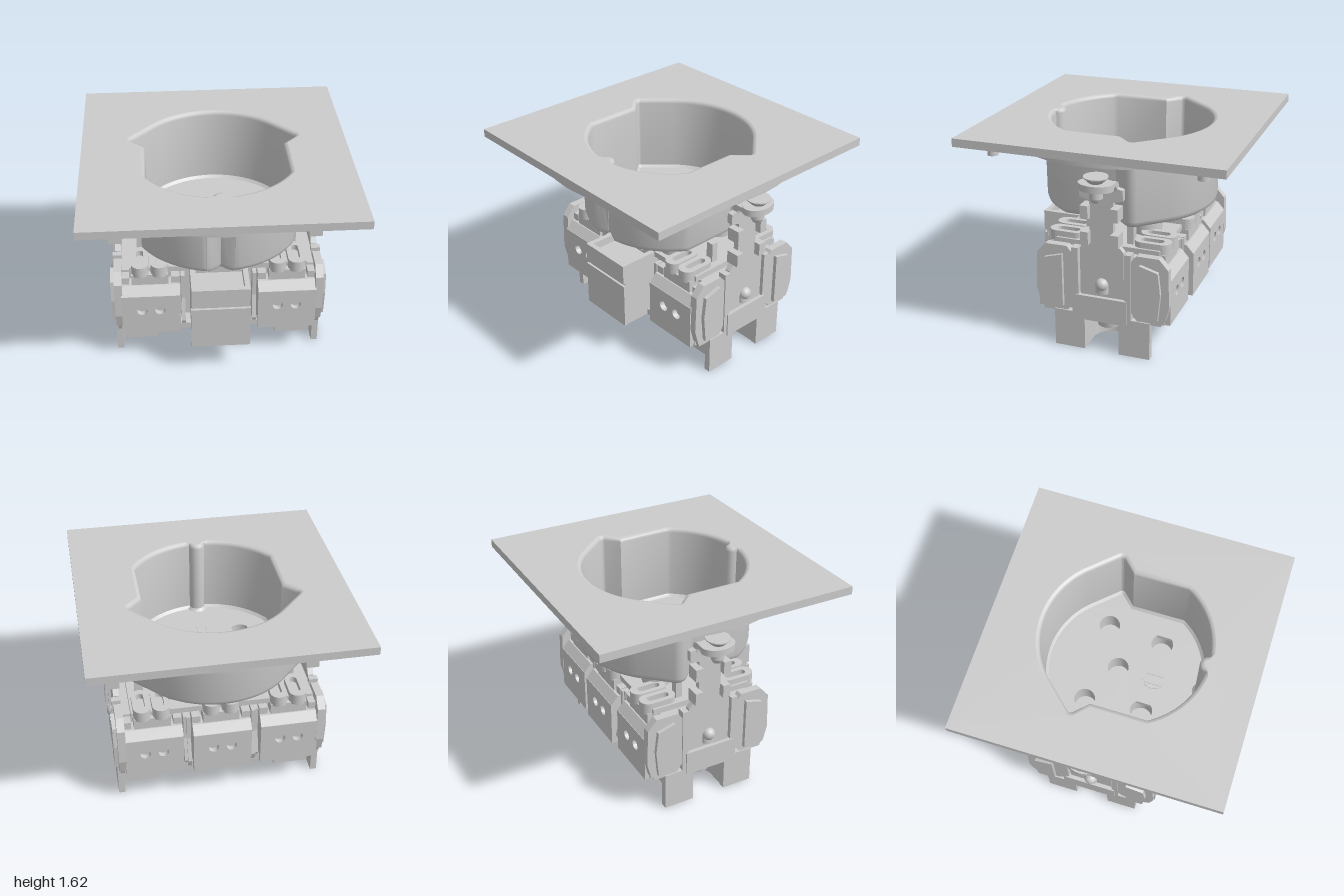
import * as THREE from 'three';
import { toCreasedNormals } from 'three/addons/utils/BufferGeometryUtils.js';

const V2 = (x, y) => new THREE.Vector2(x, y);
const ZC = -0.045; // z centre of the mechanism

export function createModel() {
  const root = new THREE.Group();
  const mat = new THREE.MeshStandardMaterial({ color: 0xcccccc });
  const thin = new THREE.MeshStandardMaterial({ color: 0xcccccc, side: THREE.DoubleSide });

  const add = (parent, name, geo, m = mat) => {
    const mesh = new THREE.Mesh(geo, m);
    mesh.name = name;
    parent.add(mesh);
    return mesh;
  };
  // Box given by its limits
  const box = (parent, name, x0, x1, y0, y1, z0, z1) => {
    const mesh = add(parent, name, new THREE.BoxGeometry(Math.abs(x1 - x0), y1 - y0, z1 - z0));
    mesh.position.set((x0 + x1) / 2, (y0 + y1) / 2, (z0 + z1) / 2);
    return mesh;
  };
  const cyl = (parent, name, x, z, y0, y1, r, rTop = r) => {
    const mesh = add(parent, name, new THREE.CylinderGeometry(rTop, r, y1 - y0, 28));
    mesh.position.set(x, (y0 + y1) / 2, z);
    return mesh;
  };
  // Shape in plan (y of the shape = -z), extruded upwards
  const slab = (parent, name, shape, y0, y1, bevel = 0) => {
    const geo = new THREE.ExtrudeGeometry(shape, {
      depth: y1 - y0 - 2 * bevel, bevelEnabled: bevel > 0, bevelSize: bevel, bevelOffset: -bevel,
      bevelThickness: bevel, bevelSegments: 2, curveSegments: 20,
    });
    geo.rotateX(-Math.PI / 2).translate(0, y0 + bevel, 0);
    return add(parent, name, toCreasedNormals(geo, 0.6));
  };
  // Side profile of [z, y] points extruded along x
  const prism = (parent, name, pts, x0, x1) => {
    const shape = new THREE.Shape(pts.map(([z, y]) => V2(-z, y)));
    const geo = new THREE.ExtrudeGeometry(shape, { depth: x1 - x0, bevelEnabled: false });
    geo.rotateY(Math.PI / 2).translate(x0, 0, 0);
    return add(parent, name, geo);
  };
  const rect = (x0, x1, y0, y1) =>
    new THREE.Shape([V2(x0, y0), V2(x1, y0), V2(x1, y1), V2(x0, y1)]);
  const circle = (x, y, r) => new THREE.Path().absarc(x, y, r, 0, Math.PI * 2);

  // Well outline: right half from rear to front, then mirrored
  const half = [];
  const arc = (cx, cy, r, a0, a1, n) => {
    for (let i = 0; i <= n; i++) {
      const a = THREE.MathUtils.degToRad(a0 + (a1 - a0) * i / n);
      half.push(V2(cx + r * Math.cos(a), cy + r * Math.sin(a)));
    }
  };
  arc(0, 0, 0.615, 90, 45, 14);
  arc(0.6, 0.215, 0.028, 45, -45, 5);
  half.push(V2(0.525, 0.1));
  arc(0, 0, 0.615, -31.4, -84.4, 16);
  arc(0, -0.615, 0.06, 0, 90, 6);
  const outline = [...half, ...half.slice(1, -1).reverse().map(p => V2(-p.x, p.y))];
  const offset = d => outline.map((p, i) => {
    const n = outline.length, a = outline[(i + n - 1) % n], b = outline[(i + 1) % n];
    const n1 = V2(a.y - p.y, p.x - a.x).normalize();
    const n2 = V2(p.y - b.y, b.x - p.x).normalize();
    const k = d / Math.max(0.4, 1 + n1.dot(n2));
    return V2(p.x + (n1.x + n2.x) * k, p.y + (n1.y + n2.y) * k);
  });
  // Wall through [offset, y] rings
  const wall = (name, rings) => {
    const pos = [], idx = [], n = outline.length;
    rings.forEach(([d, y]) => offset(d).forEach(p => pos.push(p.x, y, -p.y)));
    for (let r = 0; r < rings.length - 1; r++) for (let i = 0; i < n; i++) {
      const a = r * n + i, b = r * n + (i + 1) % n;
      idx.push(a, b, a + n, b, b + n, a + n);
    }
    const geo = new THREE.BufferGeometry();
    geo.setAttribute('position', new THREE.Float32BufferAttribute(pos, 3));
    geo.setIndex(idx);
    add(root, name, toCreasedNormals(geo, 0.7), thin);
  };

  // Cover plate with its well
  const plate = rect(-1, 1, -1, 1);
  plate.holes.push(new THREE.Path(offset(0.03)));
  const plateGeo = new THREE.ExtrudeGeometry(plate, { depth: 0.062, bevelEnabled: false });
  plateGeo.rotateX(-Math.PI / 2).translate(0, 1.555, 0);
  add(root, 'coverPlate', plateGeo);
  wall('wellInside', [[0.03, 1.617], [0.014, 1.612], [0.004, 1.602], [0, 1.585], [0, 1.03], [-0.02, 1.01]]);
  wall('wellOutside', [[0.055, 1.56], [0.05, 1.02], [0.042, 0.99], [0.025, 0.975], [0, 0.97]]);

  // Well floor with contact openings
  const floor = new THREE.Shape(offset(0));
  const pins = [[-0.32, 0.23], [0.32, 0.23], [0, 0.06]];
  pins.forEach(([x, y]) => floor.holes.push(circle(x, y, 0.08)));
  for (const s of [-1, 1]) {
    const hole = new THREE.Path();
    hole.absarc(s * 0.285, -0.21, 0.085, Math.PI * 0.23, Math.PI * 0.77);
    hole.absarc(s * 0.285, -0.21, 0.085, Math.PI * 1.23, Math.PI * 1.77);
    hole.closePath();
    floor.holes.push(hole);
  }
  slab(root, 'wellFloor', floor, 0.97, 1.01);
  cyl(root, 'centreScrew', 0, 0.23, 0.98, 1.016, 0.09);
  for (const s of [-1, 1]) box(root, 'screwSlotSide', s * 0.018, s * 0.055, 1.01, 1.022, 0.16, 0.3);

  // Underside ridges, ribs and pegs of the plate
  const ring = new THREE.Shape().absarc(0, 0, 0.97, 0, Math.PI * 2);
  ring.holes.push(circle(0, 0, 0.95));
  slab(root, 'undersideRing', ring, 1.51, 1.56);
  const ridge = rect(-0.94, 0.94, -0.94, 0.94);
  ridge.holes.push(rect(-0.92, 0.92, -0.92, 0.92));
  slab(root, 'undersideRidge', ridge, 1.535, 1.56);
  for (let i = 0; i < 4; i++) {
    const corner = new THREE.Group();
    corner.name = 'plateCorner';
    corner.rotation.y = Math.PI / 4 + i * Math.PI / 2;
    root.add(corner);
    box(corner, 'undersideRib', 0.62, 0.96, 1.515, 1.56, -0.015, 0.015);
    cyl(corner, 'peg', 1.117, 0, 1.455, 1.56, 0.04);
  }

  // Contact sleeves between well and base
  const sleeve = (x, z, r) => {
    const s = new THREE.Shape().absarc(x, -z, r, 0, Math.PI * 2);
    s.holes.push(circle(x, -z, 0.085));
    slab(root, 'contactSleeve', s, 0.8, 0.975);
  };
  pins.forEach(([x, y]) => sleeve(x, -y, 0.115));
  for (const s of [-1, 1]) sleeve(s * 0.285, 0.21, 0.115);
  cyl(root, 'screwBoss', 0, 0.23, 0.8, 0.97, 0.14);
  box(root, 'frontSupport', -0.14, 0.14, 0.82, 0.97, 0.3, 0.42);

  // Base body and floor
  box(root, 'baseCore', -0.75, 0.75, 0.32, 0.78, -0.4, 0.32);
  box(root, 'baseDeck', -0.68, 0.68, 0.78, 0.825, -0.45, 0.36);
  const under = rect(-0.76, 0.76, -0.44, 0.52);
  under.holes.push(circle(0, 0.2, 0.07));
  for (const x of [-0.3, -0.1, 0.1, 0.3]) for (const y of [-0.2, 0.02, 0.33])
    under.holes.push(rect(x - 0.045, x + 0.045, y - 0.025, y + 0.025));
  slab(root, 'baseFloor', under, 0.28, 0.33);

  // Front housing with a tray on top
  box(root, 'frontHousing', -0.22, 0.22, 0.28, 0.76, 0.3, 0.65);
  box(root, 'frontPanel', -0.225, 0.225, 0.28, 0.64, 0.64, 0.67);
  const tray = rect(-0.22, 0.22, -0.67, -0.33);
  tray.holes.push(rect(-0.18, 0.18, -0.63, -0.37));
  slab(root, 'tray', tray, 0.66, 0.82);

  // Terminal block: local +z points outwards
  const terminal = (x, z, back) => {
    const g = new THREE.Group();
    g.name = 'terminal';
    g.position.set(x, 0, z);
    if (back) g.rotation.y = Math.PI;
    root.add(g);
    prism(g, 'terminalBody', [[-0.3, 0.28], [-0.045, 0.28], [-0.04, 0.63], [0, 0.63], [-0.06, 0.7], [-0.3, 0.7]], -0.225, 0.225);
    const face = rect(-0.225, 0.225, 0.28, 0.635);
    for (const s of [-1, 1]) face.holes.push(circle(s * 0.07, 0.5, 0.04));
    const geo = new THREE.ExtrudeGeometry(face, { depth: 0.045, bevelEnabled: false });
    add(g, 'terminalFace', geo.translate(0, 0, -0.045));
    box(g, 'leverBase', -0.14, 0.14, 0.68, 0.79, -0.3, -0.07);
    for (const s of [-1, 1]) {
      box(g, 'terminalCheek', s * 0.16, s * 0.225, 0.64, 0.76, -0.3, -0.08);
      const lever = new THREE.Shape();
      lever.absarc(s * 0.073, 0.11, 0.065, 0, Math.PI);
      lever.absarc(s * 0.073, 0.26, 0.065, Math.PI, Math.PI * 2);
      lever.closePath();
      // elongated loop with a slot
      const loop = new THREE.Shape();
      loop.absarc(s * 0.073, 0.26, 0.065, 0, Math.PI);
      loop.absarc(s * 0.073, 0.11, 0.065, Math.PI, Math.PI * 2);
      const slot = new THREE.Path();
      slot.absarc(s * 0.073, 0.25, 0.028, 0, Math.PI);
      slot.absarc(s * 0.073, 0.13, 0.028, Math.PI, Math.PI * 2);
      loop.holes.push(slot);
      slab(g, 'lever', loop, 0.78, 0.87);
      prism(g, 'clip', [[-0.22, 0.28], [-0.06, 0.28], [-0.03, 0.36], [-0.08, 0.55], [-0.08, 0.76], [-0.22, 0.76]], s > 0 ? 0.235 : -0.265, s > 0 ? 0.265 : -0.235);
    }
  };
  for (const x of [-0.525, 0.525]) {
    terminal(x, 0.48, false);
    terminal(x, -0.56, true);
  }
  terminal(0, -0.575, true);

  for (const s of [-1, 1]) {
    const side = new THREE.Group();
    side.name = s > 0 ? 'leftSide' : 'rightSide';
    side.rotation.y = s > 0 ? 0 : Math.PI; // local +x points outwards
    side.position.z = ZC;
    root.add(side);

    // Side covers and skirt
    for (const t of [-1, 1]) {
      const pts = [[0.23, 0.36], [0.28, 0.29], [0.43, 0.29], [0.49, 0.33], [0.52, 0.45], [0.51, 0.74], [0.44, 0.82], [0.27, 0.82], [0.23, 0.77]];
      prism(side, 'sideCover', pts.map(([z, y]) => [t * z, y]), 0.74, 0.8);
      prism(side, 'sideCoverRaised', [[0.3, 0.34], [0.44, 0.34], [0.46, 0.55], [0.44, 0.72], [0.3, 0.76]].map(([z, y]) => [t * z, y]), 0.79, 0.83);
      box(side, 'strapGuide', 0.74, 0.81, 0.3, 0.82, t * 0.205 - 0.025, t * 0.205 + 0.025);
      box(side, 'wellPost', 0.56, 0.62, 0.8, 0.98, t * 0.16 - 0.025, t * 0.16 + 0.025);
      // Foot flanges
      box(side, 'footFlange', 0.76, 0.81, 0, 0.3, t * 0.255 - 0.12, t * 0.255 + 0.12);
      box(side, 'footFin', 0.48, 0.78, 0, 0.3, t * 0.24 - 0.015, t * 0.24 + 0.015);
    }
    box(side, 'skirt', 0.4, 0.8, 0.24, 0.3, -0.37, 0.37);
    box(side, 'skirtWall', 0.74, 0.82, 0.26, 0.45, -0.2, 0.2);

    // Channel foot, open outwards
    const foot = new THREE.Shape();
    foot.moveTo(0.81, 0.17).lineTo(0.62, 0.17);
    foot.absarc(0.62, 0, 0.17, Math.PI / 2, Math.PI * 1.5);
    foot.lineTo(0.81, -0.17).lineTo(0.81, -0.14).lineTo(0.62, -0.14);
    foot.absarc(0.62, 0, 0.14, Math.PI * 1.5, Math.PI / 2, true);
    foot.lineTo(0.81, 0.14);
    slab(side, 'channelFoot', foot, 0, 0.3);
    cyl(side, 'footPin', 0.64, 0, 0.16, 0.3, 0.09, 0.11);

    // Mounting strap with notched edge and bent top
    const strap = [[0.17, 0.45], [0.17, 0.82], [0.12, 0.88], [0.09, 0.92], [0.09, 1.2], [0.165, 1.22], [0.165, 1.3], [0.12, 1.31]];
    prism(side, 'strap', [...strap, ...strap.slice().reverse().map(([z, y]) => [-z, y])], 0.745, 0.79);
    for (const y of [0.87, 1.07]) for (const t of [-1, 1])
      box(side, 'strapTab', 0.735, 0.84, y, y + 0.1, t * 0.115 - 0.03, t * 0.115 + 0.03);
    const bend = new THREE.Shape();
    bend.moveTo(0.745, 1.28).lineTo(0.745, 1.31);
    bend.quadraticCurveTo(0.745, 1.365, 0.8, 1.365);
    bend.lineTo(0.9, 1.365).lineTo(0.9, 1.33).lineTo(0.81, 1.33);
    bend.quadraticCurveTo(0.79, 1.33, 0.79, 1.28);
    const bendGeo = new THREE.ExtrudeGeometry(bend, { depth: 0.24, bevelEnabled: false });
    add(side, 'strapBend', toCreasedNormals(bendGeo.translate(0, 0, -0.12), 0.6));
    const stopBoss = cyl(side, 'strapBoss', 0.79, 0, 0.48, 0.56, 0.05);
    stopBoss.scale.x = 0.6;
    add(side, 'strapBossTop', new THREE.SphereGeometry(0.05, 20, 12)).position.set(0.79, 0.55, 0);

    // Fixing screw and its washer
    cyl(side, 'washer', 0.88, 0, 1.325, 1.375, 0.13).scale.x = 0.73;
    cyl(side, 'screwHead', 0.88, 0, 1.37, 1.415, 0.045, 0.09);
    cyl(side, 'screwRim', 0.88, 0, 1.414, 1.422, 0.09);
    cyl(side, 'screwShank', 0.88, 0, 1.26, 1.34, 0.05);
    cyl(side, 'screwTip', 0.88, 0, 1.23, 1.26, 0.035, 0.05);
  }
  return root;
}
